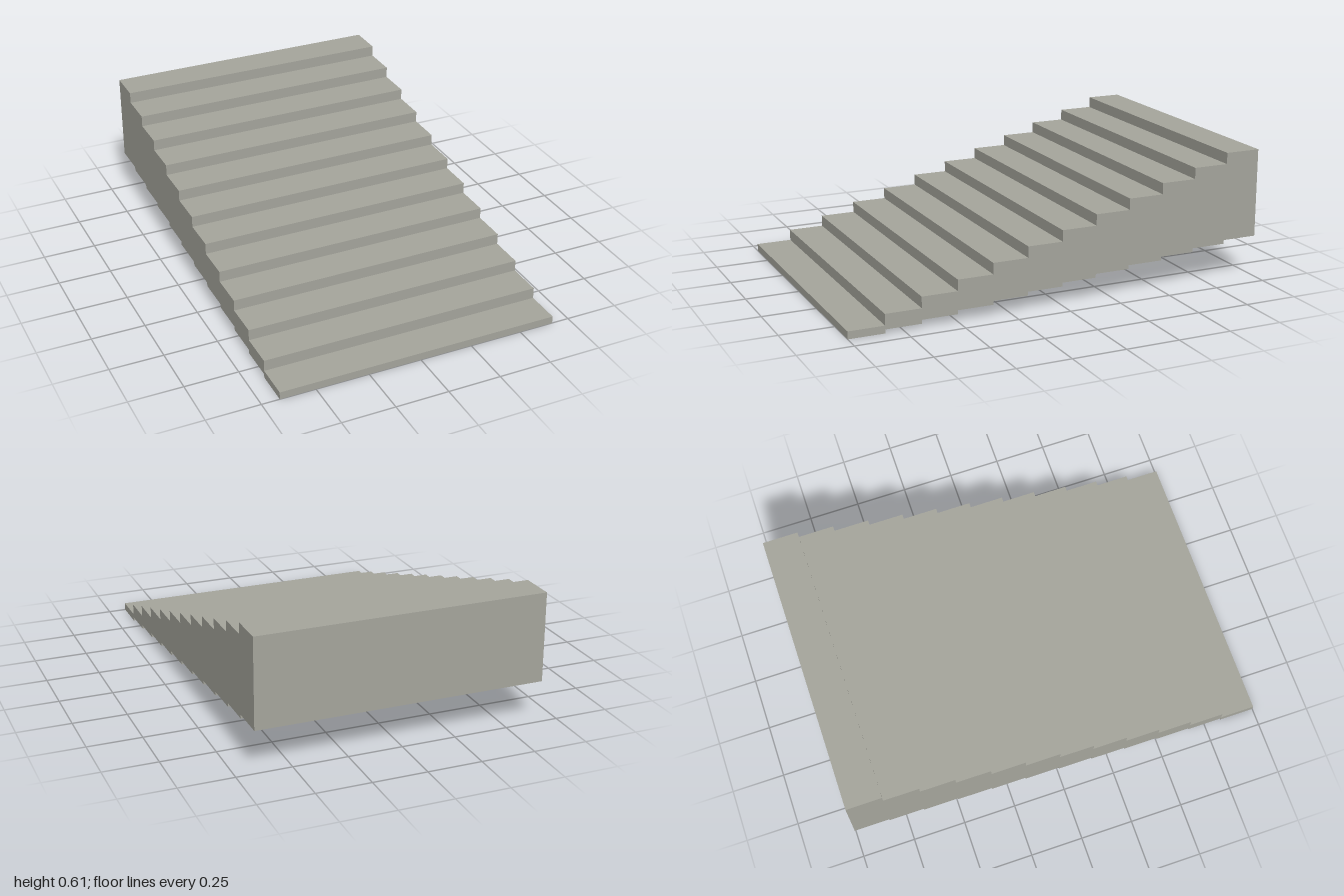
import * as THREE from 'three';

const STEPS = 12;
const WIDTH = 1.333;
const RUN = 2 / STEPS;
const FIRST_TOP = 0.035, LAST_TOP = 0.608; // tread heights
const LAST_BOTTOM = 0.194; // underside height at the back

export function createModel() {
  const group = new THREE.Group();
  group.name = 'staircase';
  const material = new THREE.MeshStandardMaterial({ color: 0xa5a59c, flatShading: true });

  // Side profile: treads rising to the back, then the shallower stepped underside
  const treads = [], underside = [];
  for (let i = 0; i < STEPS; i++) {
    const t = i / (STEPS - 1);
    const front = 1 - i * RUN, back = front - RUN;
    const top = THREE.MathUtils.lerp(FIRST_TOP, LAST_TOP, t);
    const bottom = LAST_BOTTOM * t;
    treads.push(new THREE.Vector2(front, top), new THREE.Vector2(back, top));
    underside.push(new THREE.Vector2(front, bottom), new THREE.Vector2(back, bottom));
  }
  const profile = new THREE.Shape([...treads, ...underside.reverse()]);

  // Sweep the profile across the width, turning profile x into z
  const geometry = new THREE.ExtrudeGeometry(profile, { depth: WIDTH, bevelEnabled: false });
  geometry.translate(0, 0, -WIDTH / 2);
  geometry.rotateY(-Math.PI / 2);

  const flight = new THREE.Mesh(geometry, material);
  flight.name = 'stairFlight';
  group.add(flight);
  return group;
}
